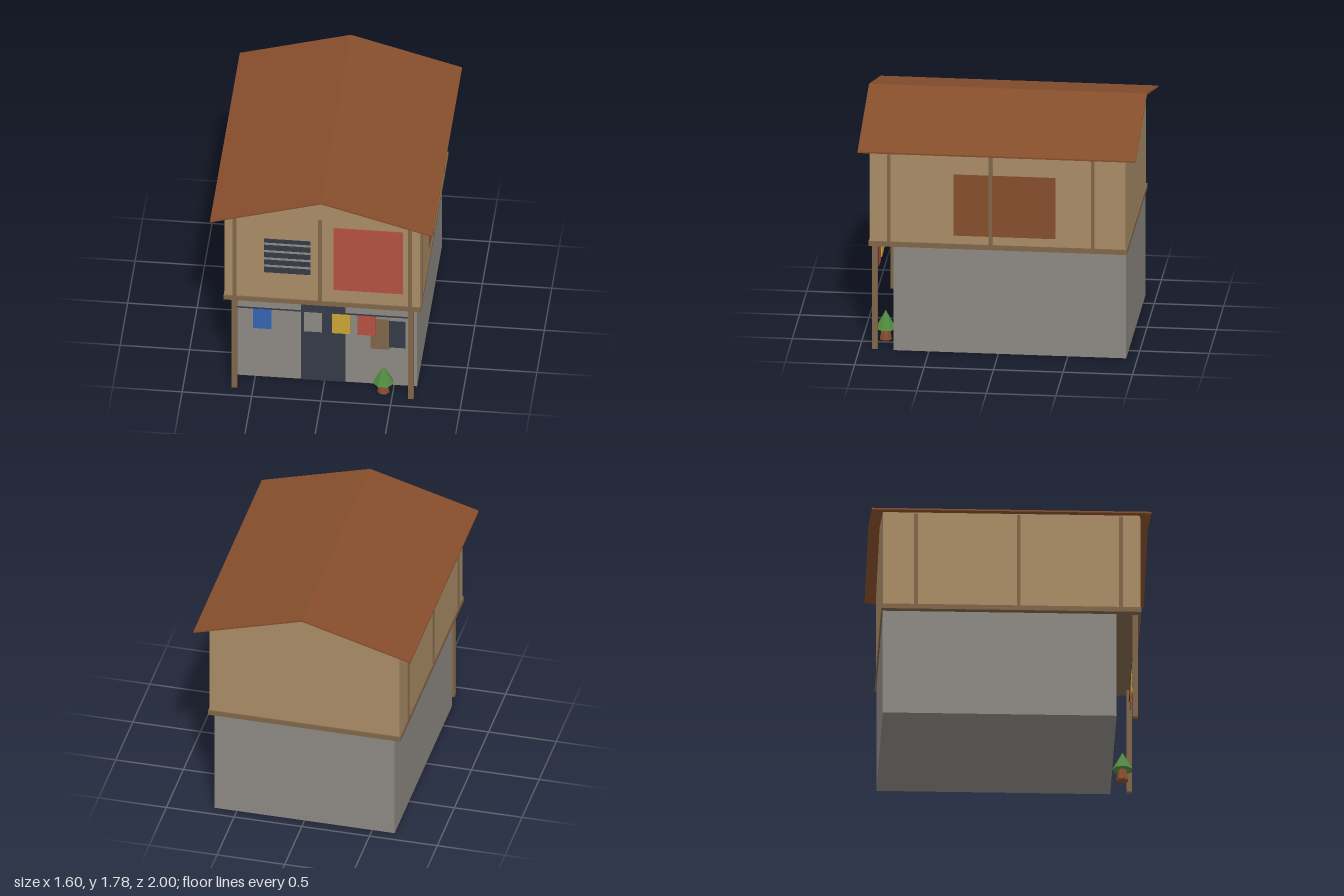
import * as THREE from 'three';

const mat = (name, color, side = THREE.FrontSide) => {
  const m = new THREE.MeshStandardMaterial({ color, side });
  m.name = name;
  return m;
};

export function createModel() {
  const plaster = mat('tan plaster', 0xa88b65);
  const concrete = mat('grey concrete', 0x8c8882);
  const timber = mat('brown timber', 0x7f6548);
  const rust = mat('rust brown', 0x864e2c);
  const dark = mat('dark slate', 0x343a46);
  const red = mat('red', 0xb25041);
  const blue = mat('blue', 0x3464b2);
  const yellow = mat('yellow', 0xcaa334);
  const green = mat('green', 0x4f8a40);

  const house = new THREE.Group();
  house.name = 'house';

  const add = (name, geometry, material, parent = house) => {
    const mesh = new THREE.Mesh(geometry, material);
    mesh.name = name;
    parent.add(mesh);
    return mesh;
  };
  // Box given by its limits on each axis
  const box = (name, material, [x0, x1], [y0, y1], [z0, z1], parent) => {
    const mesh = add(name, new THREE.BoxGeometry(x1 - x0, y1 - y0, z1 - z0), material, parent);
    mesh.position.set((x0 + x1) / 2, (y0 + y1) / 2, (z0 + z1) / 2);
    return mesh;
  };
  // Outline in x and y, extruded evenly about z = 0
  const prism = (name, material, points, depth) => {
    const shape = new THREE.Shape(points.map(([x, y]) => new THREE.Vector2(x, y)));
    const geometry = new THREE.ExtrudeGeometry(shape, { depth, bevelEnabled: false });
    add(name, geometry.translate(0, 0, -depth / 2), material);
  };

  // Ground floor, floor slab and gabled upper storey
  box('groundFloor', concrete, [-0.665, 0.665], [0, 0.805], [-0.92, 0.755]);
  box('floorSlab', timber, [-0.71, 0.71], [0.803, 0.84], [-0.93, 0.93]);
  prism('upperStorey', plaster,
    [[-0.702, 0.84], [0.702, 0.84], [0.702, 1.565], [0, 1.768], [-0.702, 1.565]], 1.84);

  // Thin roof sheet with overhanging eaves
  prism('roof', rust,
    [[-0.8, 1.54], [0, 1.768], [0.8, 1.54], [0.8, 1.552], [0, 1.78], [-0.8, 1.552]], 2);

  // Balcony posts
  for (const s of [-1, 1]) {
    box('post', timber, [s * 0.635 - 0.02, s * 0.635 + 0.02], [0, 0.805], [0.87, 0.91]);
  }

  // Wall battens on the front and both sides
  for (const x of [-0.632, -0.015, 0.632]) {
    box('frontBatten', timber, [x - 0.014, x + 0.014], [0.84, 1.57], [0.915, 0.929]);
  }
  for (const s of [-1, 1]) {
    for (const z of [0.785, 0.053, -0.683]) {
      box('sideBatten', timber, [s * 0.704 - 0.006, s * 0.704 + 0.006],
        [0.84, 1.555], [z - 0.013, z + 0.013]);
    }
  }

  // Barred window and red panel on the front
  box('upperWindow', dark, [-0.42, -0.083], [1.067, 1.368], [0.917, 0.924]);
  for (const y of [1.13, 1.195, 1.26, 1.327]) {
    box('windowBar', concrete, [-0.42, -0.083], [y - 0.007, y + 0.007], [0.922, 0.931]);
  }
  box('redPanel', red, [0.08, 0.583], [0.95, 1.504], [0.917, 0.926]);

  // Panel on the right-hand wall seen from the front
  box('sidePanel', rust, [0.699, 0.706], [0.903, 1.368], [-0.415, 0.317]);

  // Doorway, lower window and its shutter
  box('door', dark, [-0.17, 0.15], [0, 0.703], [0.752, 0.758]);
  box('lowerWindow', dark, [0.44, 0.583], [0.338, 0.573], [0.752, 0.76]);
  box('shutter', timber, [0.33, 0.465], [0.32, 0.585], [0.755, 0.764]);

  // Washing line
  const washing = new THREE.Group();
  washing.name = 'washingLine';
  house.add(washing);
  box('line', dark, [-0.615, 0.615], [0.71, 0.718], [0.886, 0.894], washing);
  [[-0.435, blue], [-0.25, concrete], [-0.069, concrete], [0.133, yellow], [0.317, red]]
    .forEach(([x, m]) =>
      box('cloth', m, [x - 0.065, x + 0.065], [0.535, 0.71], [0.887, 0.893], washing));

  // Small tree by the post
  const tree = new THREE.Group();
  tree.name = 'tree';
  tree.position.set(0.432, 0, 0.835);
  house.add(tree);
  const cone = (name, material, top, bottom, y0, y1) => {
    const geometry = new THREE.CylinderGeometry(top, bottom, y1 - y0, 7).toNonIndexed();
    geometry.computeVertexNormals();
    const mesh = add(name, geometry, material, tree);
    mesh.position.y = (y0 + y1) / 2;
    mesh.rotation.y = Math.PI / 7;
  };
  cone('trunk', rust, 0.03, 0.045, 0, 0.09);
  cone('foliage', green, 0, 0.077, 0.083, 0.22);

  return house;
}
